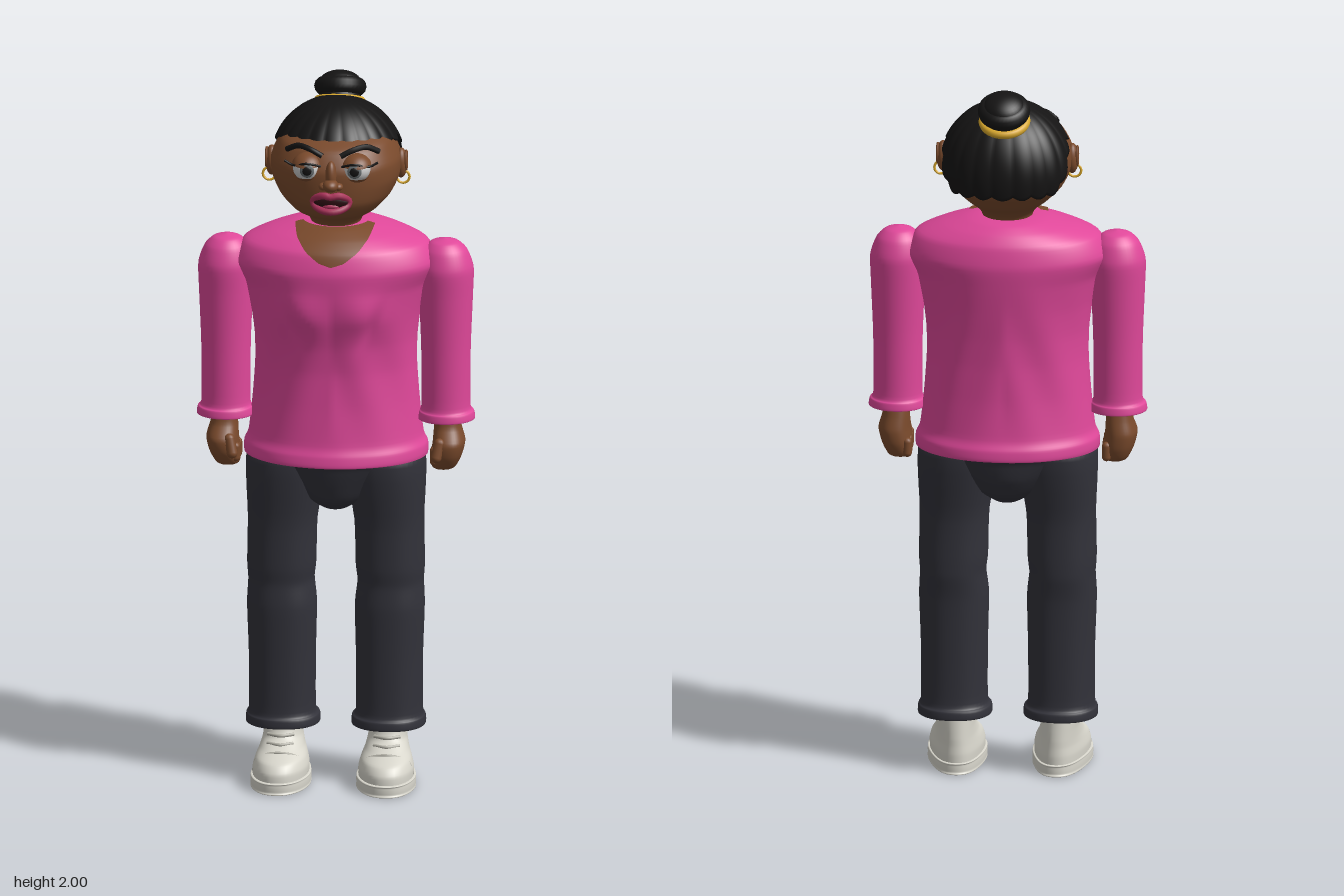
import * as THREE from 'three';

const mat = (color) => new THREE.MeshStandardMaterial({ color, roughness: 0.8, side: THREE.DoubleSide });
const PINK = mat(0xe0489a), PANTS = mat(0x32323a), SKIN = mat(0x7a4a2c), HAIR = mat(0x151414);
const GOLD = mat(0xd9a82c), SHOE = mat(0xd8d6cc), SEAM = mat(0xb4b2a8), WHITE = mat(0xe8e8e8);
const LIP = mat(0xa83058), DARK = mat(0x2a0c10), IRIS = mat(0x6a7072);

function mesh(parent, name, geometry, material, pos = [0, 0, 0], scale = [1, 1, 1]) {
  const m = new THREE.Mesh(geometry, material);
  m.name = name;
  m.position.set(...pos);
  m.scale.set(...scale);
  parent.add(m);
  return m;
}

// Surface from f(u, v), optionally joined around v
function grid(f, nu, nv, wrap) {
  const pos = [], idx = [], w = wrap ? nv : nv + 1;
  for (let i = 0; i <= nu; i++) for (let j = 0; j < w; j++) pos.push(...f(i / nu, j / nv));
  for (let i = 0; i < nu; i++) for (let j = 0; j < nv; j++) {
    const a = i * w + j, b = i * w + (j + 1) % w;
    idx.push(a, a + w, b, b, a + w, b + w);
  }
  const g = new THREE.BufferGeometry();
  g.setAttribute('position', new THREE.Float32BufferAttribute(pos, 3));
  g.setIndex(idx);
  g.computeVertexNormals();
  return g;
}

// Smooth blend between rings of [y, centreX, halfWidth, zBack, zFront]
function ringAt(rings, t) {
  const i = Math.min(Math.floor(t), rings.length - 2), f = t - i;
  const R = (k) => rings[Math.max(0, Math.min(rings.length - 1, k))];
  return R(i).map((p1, k) => {
    const p0 = R(i - 1)[k], p2 = R(i + 1)[k], p3 = R(i + 2)[k];
    const m1 = (p2 - p0) * 0.35, m2 = (p3 - p1) * 0.35, d = p2 - p1;
    return p1 + f * m1 + f * f * (3 * d - 2 * m1 - m2) + f * f * f * (m1 + m2 - 2 * d);
  });
}
function ringPoint([y, cx, rx, zb, zf], a, n = 2, grow = 0) {
  const p = (v) => Math.sign(v) * Math.abs(v) ** (2 / n);
  return [cx + (rx + grow) * p(Math.cos(a)), y, (zb + zf) / 2 + ((zf - zb) / 2 + grow) * p(Math.sin(a))];
}
function loft(rings, { n = 2, side = 1, seg = 40, deform = (p) => p } = {}) {
  const r = rings.map(([y, cx, ...rest]) => [y, cx * side, ...rest]);
  return grid((u, v) => deform(ringPoint(ringAt(r, u * (r.length - 1)), v * Math.PI * 2, n)), (r.length - 1) * 5, seg, true);
}
const tube = (pts, r, closed = false) =>
  new THREE.TubeGeometry(new THREE.CatmullRomCurve3(pts.map((p) => new THREE.Vector3(...p)), closed), 32, r, 8, closed);
const ball = () => new THREE.SphereGeometry(1, 28, 20);

const TORSO = [
  [0.96, 0, 0, 0, 0], [0.942, 0, 0.235, -0.17, 0.17], [0.942, 0, 0.255, -0.19, 0.19], [0.97, 0, 0.255, -0.188, 0.186],
  [1.0, 0, 0.243, -0.176, 0.175], [1.1, 0, 0.232, -0.166, 0.166], [1.2, 0, 0.225, -0.163, 0.163],
  [1.28, 0, 0.226, -0.166, 0.17], [1.36, 0, 0.236, -0.173, 0.184], [1.44, 0, 0.255, -0.181, 0.192],
  [1.5, 0, 0.283, -0.185, 0.196], [1.555, 0, 0.255, -0.172, 0.178], [1.585, 0, 0.19, -0.15, 0.145],
  [1.605, 0, 0.12, -0.12, 0.105], [1.612, 0, 0.075, -0.08, 0.07], [1.612, 0, 0, 0, 0]];
const HEAD = [
  [1.55, 0, 0.075, -0.07, 0.07], [1.61, 0, 0.07, -0.08, 0.075], [1.635, 0, 0.085, -0.1, 0.1],
  [1.66, 0, 0.118, -0.135, 0.155], [1.7, 0, 0.155, -0.175, 0.182], [1.75, 0, 0.178, -0.192, 0.189],
  [1.8, 0, 0.18, -0.195, 0.188], [1.85, 0, 0.156, -0.18, 0.158], [1.875, 0, 0.13, -0.16, 0.1],
  [1.9, 0, 0.1, -0.13, 0.06], [1.93, 0, 0.03, -0.06, 0], [1.932, 0, 0, -0.03, -0.03]];
const ARM = [
  [1.06, 0.305, 0, 0.01, 0.01], [1.047, 0.305, 0.066, -0.056, 0.072], [1.045, 0.307, 0.08, -0.068, 0.084],
  [1.065, 0.307, 0.077, -0.066, 0.082], [1.085, 0.306, 0.068, -0.059, 0.074], [1.25, 0.306, 0.069, -0.06, 0.075],
  [1.4, 0.306, 0.075, -0.067, 0.081], [1.48, 0.306, 0.077, -0.07, 0.085], [1.53, 0.304, 0.062, -0.054, 0.069],
  [1.555, 0.303, 0.038, -0.03, 0.046], [1.565, 0.303, 0, 0.008, 0.008]];
const HAND = [
  [1.07, 0.31, 0.033, -0.03, 0.04], [1.02, 0.311, 0.038, -0.042, 0.05], [0.98, 0.315, 0.045, -0.052, 0.078],
  [0.94, 0.308, 0.043, -0.05, 0.074], [0.905, 0.3, 0.032, -0.035, 0.05], [0.893, 0.298, 0, 0.005, 0.005]];
const LEG = [
  [0.18, 0.148, 0, 0, 0], [0.16, 0.148, 0.085, -0.08, 0.093], [0.158, 0.147, 0.103, -0.095, 0.11],
  [0.18, 0.147, 0.102, -0.094, 0.109], [0.2, 0.149, 0.093, -0.083, 0.1], [0.35, 0.149, 0.093, -0.082, 0.1],
  [0.5, 0.15, 0.097, -0.084, 0.103], [0.57, 0.152, 0.092, -0.092, 0.098], [0.62, 0.151, 0.096, -0.093, 0.102],
  [0.75, 0.148, 0.097, -0.094, 0.104], [0.95, 0.135, 0.11, -0.12, 0.12], [0.97, 0.135, 0, 0, 0]];
const PELVIS = [
  [0.78, 0, 0, 0, 0], [0.785, 0, 0.04, -0.06, 0.06], [0.82, 0, 0.09, -0.115, 0.115],
  [0.87, 0, 0.13, -0.145, 0.137], [0.92, 0, 0.17, -0.157, 0.152], [0.96, 0, 0.2, -0.16, 0.155], [0.97, 0, 0, 0, 0]];
const SOLE = [
  [0, 0.145, 0, 0.06, 0.06], [0, 0.145, 0.08, -0.09, 0.22], [0.008, 0.145, 0.085, -0.095, 0.226],
  [0.028, 0.145, 0.085, -0.095, 0.226], [0.034, 0.145, 0.079, -0.09, 0.218], [0.034, 0.145, 0, 0.06, 0.06]];
const UPPER = [
  [0.02, 0.145, 0.079, -0.09, 0.219], [0.055, 0.145, 0.08, -0.09, 0.216], [0.08, 0.145, 0.074, -0.088, 0.196],
  [0.1, 0.146, 0.067, -0.087, 0.145], [0.125, 0.147, 0.062, -0.085, 0.1], [0.15, 0.148, 0.061, -0.083, 0.086],
  [0.19, 0.148, 0.06, -0.08, 0.08]];

// Bust and soft cloth folds
function sweaterShape([x, y, z]) {
  const g = (d, s) => Math.exp(-((d / s) ** 2)), ax = Math.abs(x);
  const bust = 0.018 * g(ax - 0.085, 0.06) * g(y - 1.385, 0.06);
  const dart = 0.01 * g(ax - 0.115 - (y - 1.36) * 0.4, 0.016) * g(y - 1.35, 0.05);
  const fold = 0.003 * Math.sin(ax * 45 + y * 14) * g(y - 1.2, 0.17);
  return [x, y, z + (z > 0.03 ? bust - dart + fold : z < -0.03 ? fold : 0)];
}

function buildHair(parent) {
  // Scalloped cap, high over the brow and low at the nape
  const cap = grid((u, v) => {
    const a = v * Math.PI * 2, s = Math.sin(a), lock = Math.abs(Math.sin(a * 11));
    const back = THREE.MathUtils.smoothstep(-s, 0, 0.75);
    const edgeY = 1.843 + 0.014 * Math.max(0, s) - 0.125 * back - 0.01 * lock;
    const low = Math.asin((edgeY - 1.76) / 0.19);
    const k = Math.max(0, (u - 0.06) / 0.94), phi = low + (Math.PI / 2 - low) * k;
    const r = Math.cos(phi) * (u < 0.03 ? 0.86 : 1 + 0.025 * (lock - 0.5) * (1 - k));
    const [x, , z] = ringPoint([0, 0, 0.186, -1, 1], a, 2.15);
    return [x * r, 1.76 + 0.19 * Math.sin(phi), -0.05 + z * r * (s > 0 ? 0.2 : 0.165)];
  }, 34, 176, true);
  mesh(parent, 'hairCap', cap, HAIR);

  const bun = new THREE.Group();
  bun.name = 'bun';
  bun.position.set(0, 1.915, -0.125);
  bun.rotation.x = -0.4;
  parent.add(bun);
  mesh(bun, 'bunBase', new THREE.CylinderGeometry(0.055, 0.068, 0.09, 28), HAIR, [0, -0.01, 0]);
  const band = mesh(bun, 'hairBand', new THREE.TorusGeometry(0.06, 0.012, 12, 40), GOLD);
  band.rotation.x = Math.PI / 2;
  mesh(bun, 'bunCoil', new THREE.TorusGeometry(0.047, 0.026, 12, 36).rotateX(Math.PI / 2), HAIR, [0, 0.04, -0.003]);
  mesh(bun, 'bunTop', ball(), HAIR, [0, 0.05, -0.004], [0.059, 0.036, 0.059]);
}

function buildFace(parent) {
  mesh(parent, 'noseBridge', ball(), SKIN, [0, 1.79, 0.182], [0.016, 0.042, 0.024]);
  mesh(parent, 'noseTip', ball(), SKIN, [0, 1.766, 0.198], [0.022, 0.018, 0.028]);
  const lips = [];
  for (let i = 0; i < 16; i++) {
    const a = i / 16 * Math.PI * 2, x = 0.05 * Math.cos(a);
    lips.push([x, 1.713 + 0.024 * Math.sin(a) - (i === 4 ? 0.005 : 0), 0.198 - x * x * 9]);
  }
  mesh(parent, 'lips', tube(lips, 0.01, true), LIP);
  mesh(parent, 'mouth', ball(), DARK, [0, 1.713, 0.181], [0.05, 0.023, 0.014]);
  mesh(parent, 'tongue', ball(), LIP, [0, 1.702, 0.188], [0.025, 0.009, 0.01]);
  for (const s of [1, -1]) {
    mesh(parent, 'nostril', ball(), SKIN, [s * 0.021, 1.761, 0.19], [0.013, 0.011, 0.016]);
    mesh(parent, 'eyeball', ball(), WHITE, [s * 0.068, 1.805, 0.155], [0.04, 0.037, 0.042]);
    mesh(parent, 'iris', ball(), IRIS, [s * 0.066, 1.806, 0.193], [0.02, 0.02, 0.006]);
    mesh(parent, 'pupil', ball(), HAIR, [s * 0.066, 1.806, 0.197], [0.013, 0.013, 0.004]);
    const lid = mesh(parent, 'upperLid', new THREE.SphereGeometry(1, 28, 12, 0, Math.PI * 2, 0, 1.2), SKIN,
      [s * 0.068, 1.805, 0.154], [0.045, 0.042, 0.047]);
    lid.rotation.x = 0.15;
    mesh(parent, 'lowerLid', new THREE.SphereGeometry(1, 28, 10, 0, Math.PI * 2, 2.2, Math.PI - 2.2), SKIN,
      [s * 0.068, 1.805, 0.154], [0.044, 0.04, 0.046]);
    mesh(parent, 'lashLine', tube([[s * 0.03, 1.815, 0.178], [s * 0.066, 1.827, 0.196], [s * 0.105, 1.817, 0.177],
      [s * 0.13, 1.828, 0.17]], 0.0035), HAIR);
    mesh(parent, 'eyebrow', tube([[s * 0.025, 1.842, 0.168], [s * 0.06, 1.858, 0.158], [s * 0.095, 1.862, 0.137],
      [s * 0.128, 1.845, 0.118]], 0.008), HAIR);
    mesh(parent, 'ear', ball(), SKIN, [s * 0.18, 1.775, -0.008], [0.018, 0.043, 0.027]);
    mesh(parent, 'earInner', new THREE.TorusGeometry(0.018, 0.004, 8, 24).rotateY(Math.PI / 2), SKIN,
      [s * 0.194, 1.782, -0.008], [1, 1.4, 1]);
    mesh(parent, 'earring', new THREE.TorusGeometry(0.018, 0.0035, 8, 28), GOLD, [s * 0.186, 1.737, 0]);
  }
}

function buildLimbs(parent, side) {
  mesh(parent, 'sleeve', loft(ARM, { side }), PINK);
  mesh(parent, 'hand', loft(HAND, { side, n: 2.3 }), SKIN);
  for (let i = 0; i < 4; i++) {
    const z = -0.034 + i * 0.026;
    mesh(parent, 'finger', new THREE.CapsuleGeometry(0.013, 0.03, 6, 12), SKIN, [side * 0.277, 0.932 + i * 0.003, z]);
  }
  const thumb = mesh(parent, 'thumb', new THREE.CapsuleGeometry(0.015, 0.04, 6, 12), SKIN, [side * 0.288, 0.965, 0.07]);
  thumb.rotation.set(-0.25, 0, side * -0.2);
  mesh(parent, 'trouserLeg', loft(LEG, { side, n: 2.2 }), PANTS);

  // Shoe, narrower towards the heel
  const deform = ([x, y, z]) => {
    const c = side * 0.145, k = 0.82 + 0.18 * THREE.MathUtils.smoothstep(z, -0.06, 0.13);
    return [c + (x - c) * k + side * (z - 0.06) * 0.04, y, z];
  };
  mesh(parent, 'sole', loft(SOLE, { side, n: 2.2, deform }), SHOE);
  mesh(parent, 'shoeUpper', loft(UPPER, { side, n: 2.2, deform }), SHOE);
  const c = side * 0.148;
  mesh(parent, 'toeSeam', tube([[c - 0.074, 0.04, 0.115], [c - 0.06, 0.08, 0.128], [c, 0.1, 0.145],
    [c + 0.06, 0.08, 0.128], [c + 0.074, 0.04, 0.115]], 0.004), SEAM);
  for (const [y, z] of [[0.115, 0.117], [0.135, 0.096]])
    mesh(parent, 'lace', tube([[c - 0.036, y, z - 0.018], [c, y, z], [c + 0.036, y, z - 0.018]], 0.005), SEAM);
}

export function createModel() {
  const model = new THREE.Group();
  model.name = 'standingWoman';
  const group = (name) => {
    const g = new THREE.Group();
    g.name = name;
    model.add(g);
    return g;
  };

  mesh(model, 'sweater', loft(TORSO, { seg: 120, deform: sweaterShape }), PINK);
  // Skin in the scooped neckline
  const neckline = grid((u, v) => {
    const ring = ringAt(TORSO, 10.45 + u * 3.2), w = 0.108 * Math.sqrt(1 - (1 - u) ** 2);
    const half = Math.asin(Math.min(0.95, w / ring[2]));
    const [x, y, z] = ringPoint(ring, Math.PI / 2 + half * (2 * v - 1), 2, 0.004);
    return [x, y + 0.003 * u, z];
  }, 20, 24, false);
  mesh(model, 'neckline', neckline, SKIN);
  mesh(model, 'pelvis', loft(PELVIS), PANTS);

  const head = group('head');
  mesh(head, 'headAndNeck', loft(HEAD, { n: 2.15, seg: 64 }), SKIN);
  buildFace(head);
  buildHair(head);

  buildLimbs(group('leftLimbs'), 1);
  buildLimbs(group('rightLimbs'), -1);
  return model;
}
